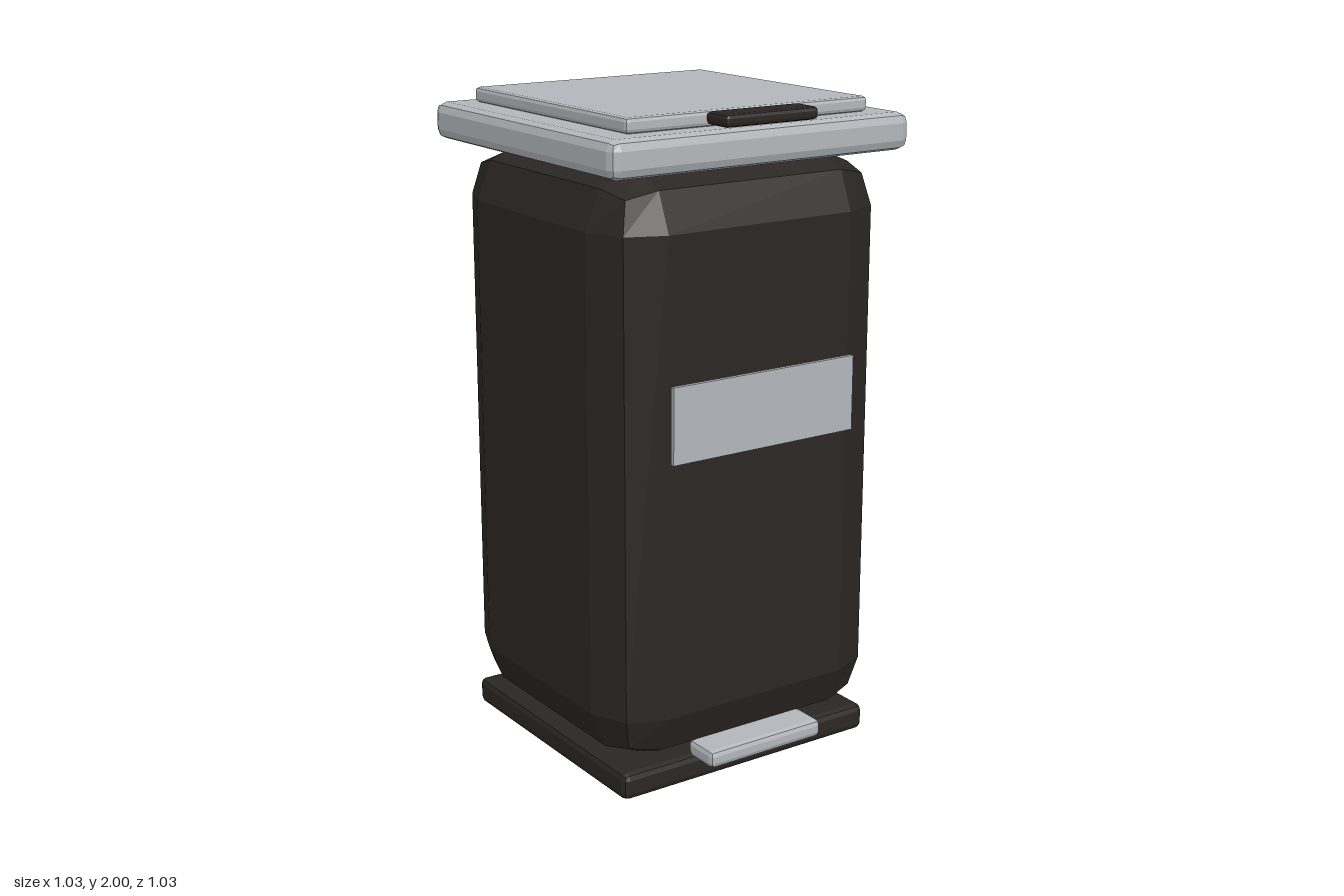
import * as THREE from 'three';
import { RoundedBoxGeometry } from 'three/addons/geometries/RoundedBoxGeometry.js';

const dark = new THREE.MeshStandardMaterial({ color: 0x2a2623, flatShading: true });
const metal = new THREE.MeshStandardMaterial({ color: 0xb2b6ba, flatShading: true });

// Block centred on x, given its half width and its y and z ranges; edges bevelled in two bands
function block(name, halfWidth, [y0, y1], [z0, z1], bevel, material) {
  const size = [halfWidth * 2, y1 - y0, z1 - z0];
  const geometry = bevel > 0
    ? new RoundedBoxGeometry(...size, 1, bevel)
    : new THREE.BoxGeometry(...size);
  const mesh = new THREE.Mesh(geometry, material);
  mesh.name = name;
  mesh.position.set(0, (y0 + y1) / 2, (z0 + z1) / 2);
  return mesh;
}

export function createModel() {
  const bin = new THREE.Group();
  bin.name = 'pedalBin';
  bin.add(
    // Foot plate, pedal and main container
    block('base', 0.45, [0, 0.083], [-0.45, 0.42], 0.02, dark),
    block('pedal', 0.205, [0.075, 0.13], [0.39, 0.515], 0.017, metal),
    block('body', 0.483, [0.08, 1.845], [-0.481, 0.456], 0.165, dark),
    // Plain plate set just off the front
    block('frontPlate', 0.32, [1.03, 1.257], [0.47, 0.483], 0, metal),
    // Lid with its raised panel and handle
    block('lid', 0.515, [1.845, 1.955], [-0.515, 0.481], 0.03, metal),
    block('lidPanel', 0.417, [1.955, 2], [-0.435, 0.4], 0.012, metal),
    block('lidHandle', 0.16, [1.963, 2], [0.402, 0.5], 0.012, dark),
  );
  return bin;
}
